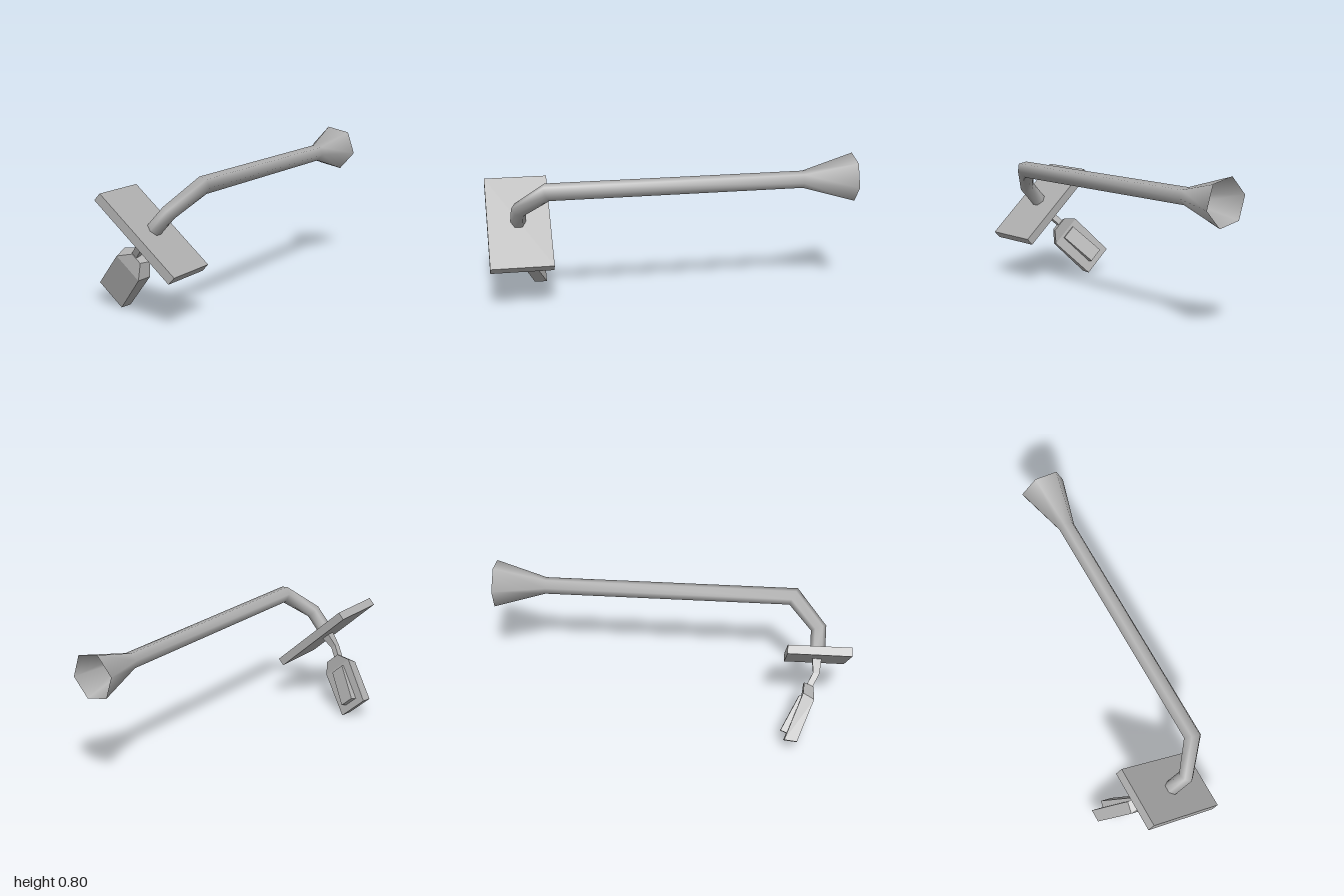
import * as THREE from 'three';

// Skin a list of equal-length rings (counter-clockwise about the travel direction)
function loft(rings, { smooth = false, caps = false } = {}) {
  const n = rings[0].length;
  const index = [];
  for (let i = 0; i < rings.length - 1; i++) {
    for (let j = 0; j < n; j++) {
      const a = i * n + j, b = i * n + (j + 1) % n;
      index.push(a, b, b + n, a, b + n, a + n);
    }
  }
  if (caps) {
    const top = (rings.length - 1) * n;
    for (let j = 1; j < n - 1; j++) {
      index.push(0, j + 1, j, top, top + j, top + j + 1);
    }
  }
  let geo = new THREE.BufferGeometry().setFromPoints(rings.flat());
  geo.setIndex(index);
  if (!smooth) geo = geo.toNonIndexed();
  geo.computeVertexNormals();
  return geo;
}

// Four-cornered section: front edge and back edge, each [halfWidth, y, z]
function section(x, [fw, fy, fz], [bw, by, bz]) {
  return [
    new THREE.Vector3(x - fw, fy, fz), new THREE.Vector3(x + fw, fy, fz),
    new THREE.Vector3(x + bw, by, bz), new THREE.Vector3(x - bw, by, bz),
  ];
}

// Six-sided tube along a [y, z, radius] path, mitred at the bends
function hexTube(path) {
  const dir = (p, q) => new THREE.Vector2(q[0] - p[0], q[1] - p[1]).normalize();
  const rings = path.map((p, i) => {
    const before = dir(path[Math.max(i - 1, 0)], path[Math.max(i, 1)]);
    const last = path.length - 1;
    const after = dir(path[Math.min(i, last - 1)], path[Math.min(i + 1, last)]);
    const t = before.clone().add(after).normalize();
    const stretch = 1 / t.dot(before);
    return Array.from({ length: 6 }, (_, k) => {
      const a = k * Math.PI / 3;
      const m = Math.cos(a) * p[2] * stretch;
      return new THREE.Vector3(-Math.sin(a) * p[2], p[0] + m * t.y, p[1] - m * t.x);
    });
  });
  return loft(rings, { smooth: true });
}

export function createModel() {
  const grey = new THREE.MeshStandardMaterial({ color: 0xb0b0b0, side: THREE.DoubleSide });
  grey.name = 'plain grey';

  const model = new THREE.Group();
  model.name = 'leverAssembly';

  // Everything is built upright around the plate, then leaned over sideways
  const lean = new THREE.Group();
  lean.name = 'leaningAssembly';
  lean.position.set(0.0135, 0.4375, 0.8275);
  lean.rotation.z = -0.7365;
  model.add(lean);

  const add = (name, geometry) => {
    const mesh = new THREE.Mesh(geometry, grey);
    mesh.name = name;
    lean.add(mesh);
  };

  // Open flared end, long straight tube and two bends down to the plate
  add('flaredTube', hexTube([
    [0.321, -1.8275, 0.1325],
    [0.321, -1.54, 0.047],
    [0.321, -0.143, 0.047],
    [0.15, 0.003, 0.042],
    [0, 0.003, 0.042],
  ]));

  // Flat rectangular plate
  add('plate', new THREE.BoxGeometry(0.572, 0.048, 0.345));

  // Thin neck that bends back toward the pad
  add('neck', loft([
    section(0.003, [0.0175, -0.19, -0.022], [0.0175, -0.18, -0.055]),
    section(0.003, [0.0175, -0.108, 0.017], [0.0175, -0.1, -0.017]),
    section(0.003, [0.026, -0.02, 0.026], [0.026, -0.02, -0.026]),
  ], { caps: true }));

  // Pad with narrowed shoulders, slightly wider at the back
  add('pad', loft([
    section(0.0225, [0.09, -0.489, -0.0925], [0.097, -0.482, -0.1625]),
    section(0.0225, [0.0875, -0.252, -0.0075], [0.102, -0.2205, -0.07]),
    section(0.0225, [0.0325, -0.178, -0.0125], [0.05, -0.159, -0.065]),
  ], { caps: true }));

  // Raised rib on the back of the pad
  add('backRib', loft([
    section(0.018, [0.045, -0.45, -0.128], [0.045, -0.43, -0.1845]),
    section(0.018, [0.045, -0.25, -0.03], [0.045, -0.231, -0.0885]),
  ], { caps: true }));

  return model;
}
